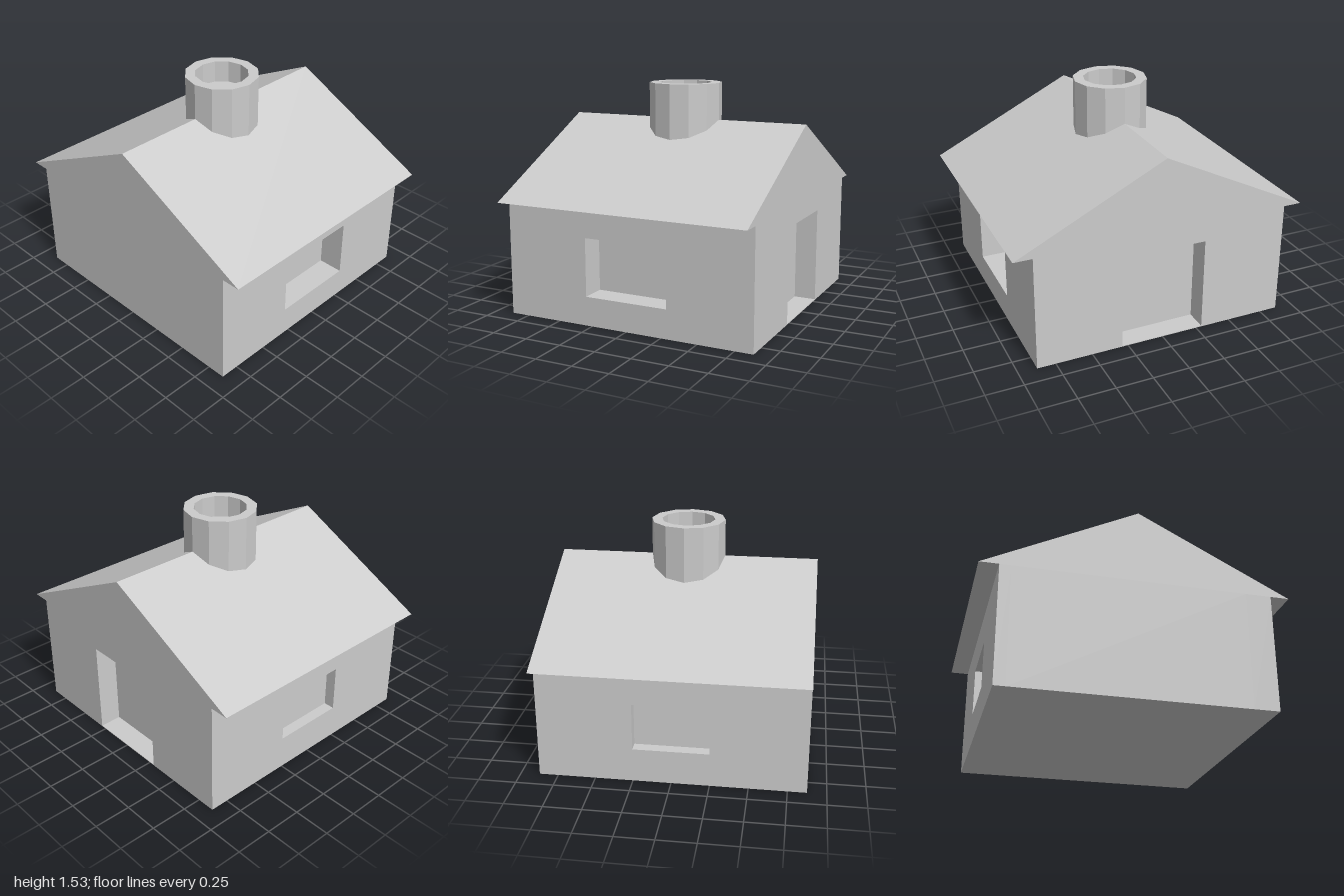
import * as THREE from 'three';

const HALF = 0.875;     // half width of the square house
const EAVES = 0.785;    // wall height
const RIDGE = 1.28;
const FRONT_DEPTH = 0.17, BACK_DEPTH = 0.075, DOOR_DEPTH = 0.15;

const material = new THREE.MeshStandardMaterial({ color: 0xcccccc, flatShading: true });

function addMesh(parent, name, geometry) {
  const mesh = new THREE.Mesh(geometry, material);
  mesh.name = name;
  parent.add(mesh);
  return mesh;
}

// Closed outline from a list of [x, y] corners
function outline(points, Type = THREE.Shape) {
  return new Type(points.map(([x, y]) => new THREE.Vector2(x, y)));
}

const rect = (x0, x1, y0, y1) => [[x0, y0], [x1, y0], [x1, y1], [x0, y1]];

// Wall facing +z with a rectangular opening, its inner face at z = 0
function wallGeometry(x0, x1, depth, opening) {
  const shape = outline(rect(x0, x1, 0, EAVES));
  shape.holes.push(outline(rect(...opening).reverse(), THREE.Path));
  return new THREE.ExtrudeGeometry(shape, { depth, bevelEnabled: false });
}

export function createModel() {
  const house = new THREE.Group();
  house.name = 'house';

  // Solid core, which closes the back of each recess
  const zBack = -HALF + BACK_DEPTH, zFront = HALF - FRONT_DEPTH;
  const core = addMesh(house, 'core',
    new THREE.BoxGeometry(2 * HALF - DOOR_DEPTH, EAVES, zFront - zBack));
  core.position.set(-DOOR_DEPTH / 2, EAVES / 2, (zFront + zBack) / 2);

  // Front wall with the large window recess
  const front = addMesh(house, 'frontWall',
    wallGeometry(-HALF, HALF, FRONT_DEPTH, [-0.29, 0.29, 0.195, 0.585]));
  front.position.z = zFront;

  // Back wall with the smaller, shallower window recess
  const back = addMesh(house, 'backWall',
    wallGeometry(-HALF, HALF, BACK_DEPTH, [-0.25, 0.25, 0.23, 0.55]));
  back.rotation.y = Math.PI;
  back.position.z = zBack;

  // Left side wall with the doorway and a thin threshold
  const side = addMesh(house, 'doorWall',
    wallGeometry(-zFront, -zBack, DOOR_DEPTH, [-0.29, 0.29, 0.005, 0.65]));
  side.rotation.y = Math.PI / 2;
  side.position.x = HALF - DOOR_DEPTH;

  // Gabled roof: triangular prism overhanging front and back
  const roof = addMesh(house, 'roof', new THREE.ExtrudeGeometry(
    outline([[-1, EAVES], [1, EAVES], [0, RIDGE]]),
    { depth: 2 * HALF, bevelEnabled: false }));
  roof.rotation.y = Math.PI / 2;
  roof.position.x = -HALF;

  // Twelve-sided chimney with a shallow flue
  const profile = [[0.25, 1.0], [0.25, 1.53], [0.18, 1.53], [0.18, 1.38], [0, 1.38]]
    .map(([r, y]) => new THREE.Vector2(r, y));
  const chimney = new THREE.LatheGeometry(profile, 12).toNonIndexed();
  chimney.computeVertexNormals();
  addMesh(house, 'chimney', chimney);

  return house;
}
